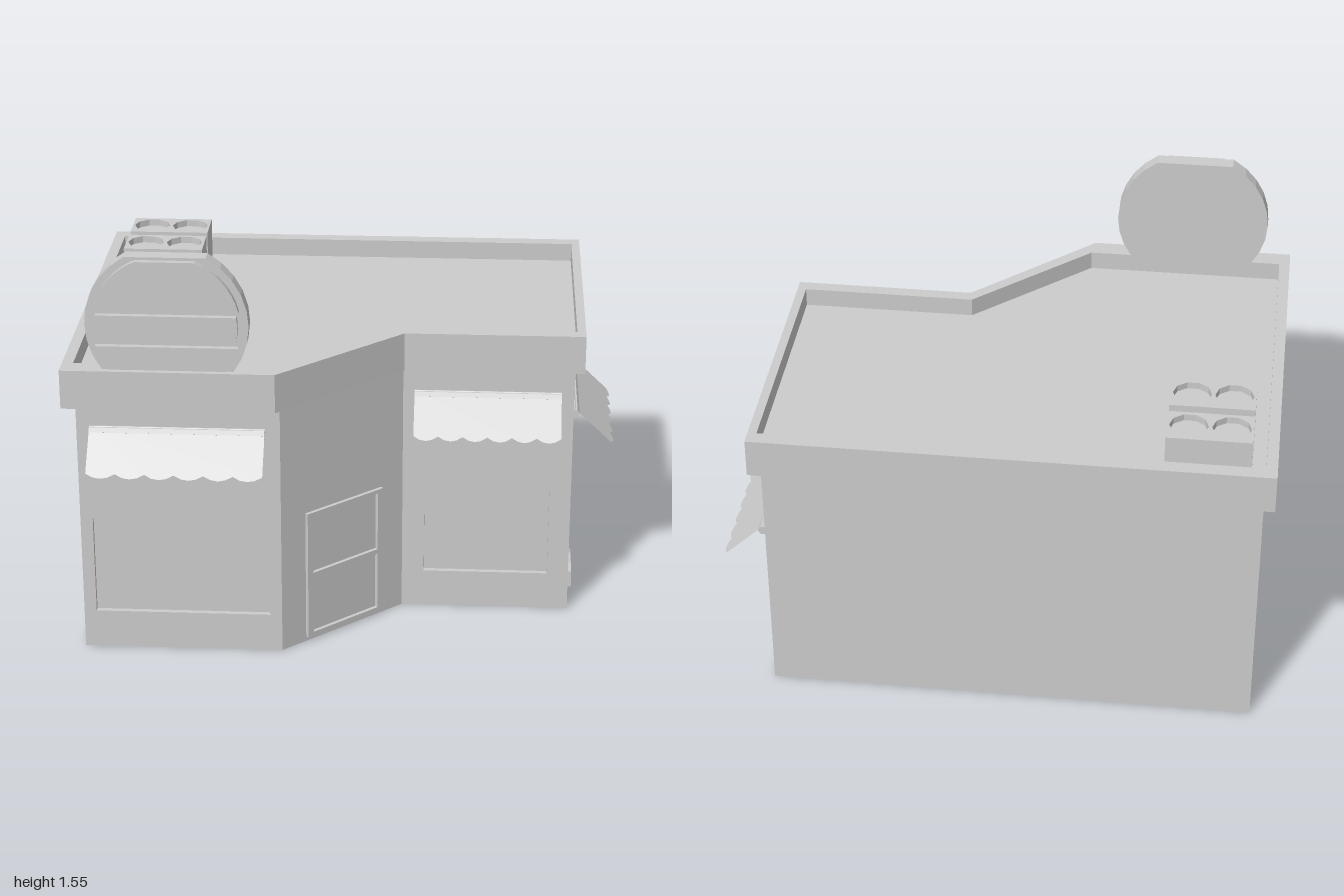
import * as THREE from 'three';

const material = new THREE.MeshStandardMaterial({ color: 0xcccccc, flatShading: true, side: THREE.DoubleSide });

function add(parent, name, geometry, x = 0, y = 0, z = 0) {
  const mesh = new THREE.Mesh(geometry, material);
  mesh.name = name;
  mesh.position.set(x, y, z);
  parent.add(mesh);
  return mesh;
}

function group(parent, name) {
  const g = new THREE.Group();
  g.name = name;
  parent.add(g);
  return g;
}

const polygon = (pts) => new THREE.Shape(pts.map(([x, y]) => new THREE.Vector2(x, y)));
const rect = (x0, y0, x1, y1) => polygon([[x0, y0], [x1, y0], [x1, y1], [x0, y1]]);
const extrude = (shape, depth) => new THREE.ExtrudeGeometry(shape, { depth, bevelEnabled: false, curveSegments: 6 });

// Floor-plan outline, given as [x, z] and laid flat with rotateX(-90 degrees)
const plan = (pts) => polygon(pts.map(([x, z]) => [x, -z]));
const flat = (geometry) => geometry.rotateX(-Math.PI / 2);

// Open-fronted niche sunk behind a rectangular opening
function recess(parent, name, [x0, y0, x1, y1], depth) {
  const g = group(parent, name);
  const w = x1 - x0, h = y1 - y0, cx = (x0 + x1) / 2, cy = (y0 + y1) / 2;
  add(g, 'pane', new THREE.PlaneGeometry(w, h), cx, cy, -depth);
  for (const s of [-1, 1]) {
    add(g, 'sideReveal', new THREE.PlaneGeometry(depth, h).rotateY(-s * Math.PI / 2), cx + s * w / 2, cy, -depth / 2);
    add(g, 'levelReveal', new THREE.PlaneGeometry(w, depth).rotateX(s * Math.PI / 2), cx, cy + s * h / 2, -depth / 2);
  }
  return g;
}

// Frame with two stacked openings, lying on a wall plane
function twoPaneFrame(parent, name, outer, panes, depth, z) {
  const shape = rect(...outer);
  panes.forEach((p) => shape.holes.push(rect(...p)));
  add(parent, name, extrude(shape, depth), 0, 0, z);
}

// Sloping scalloped sheet hung from a hexagonal rod
function awning(parent, x0, x1, top, reach, drop, scallops) {
  const g = group(parent, 'awning');
  const w = x1 - x0, length = Math.hypot(reach, drop), lobe = 0.018, step = w / scallops;
  const s = new THREE.Shape();
  s.moveTo(0, 0);
  s.lineTo(0, -length + lobe);
  for (let i = 0; i < scallops; i++) {
    s.quadraticCurveTo((i + 0.5) * step, -length - lobe, (i + 1) * step, -length + lobe);
  }
  s.lineTo(w, 0);
  const sheet = new THREE.ShapeGeometry(s, 4).rotateX(-Math.atan2(reach, drop));
  add(g, 'awningSheet', sheet, x0, top, 0.02);
  const rod = new THREE.CylinderGeometry(0.018, 0.018, w, 6).rotateZ(Math.PI / 2);
  add(g, 'awningRod', rod, (x0 + x1) / 2, top - 0.018, 0.02);
}

// Disc outline with its top and bottom cut off level
function cutDisc(r, y0, y1) {
  const pts = [], n = 8;
  const a0 = Math.asin(y0 / r), a1 = Math.asin(y1 / r);
  for (let i = 0; i <= n; i++) {
    const a = a0 + (a1 - a0) * i / n;
    pts.push([r * Math.cos(a), r * Math.sin(a)]);
  }
  return polygon([...pts, ...pts.slice().reverse().map(([x, y]) => [-x, y])]);
}

export function createModel() {
  const model = new THREE.Group();
  model.name = 'cornerShop';
  const wallTop = 0.985;

  // Walls run anticlockwise from the front corner; openings are in wall coordinates
  const corners = [[-0.96, 0.615], [-0.23, 0.615], [0.195, 0.225], [0.825, 0.225], [0.825, -0.72], [-0.96, -0.72]];
  const specs = [
    { name: 'frontRightWall', opening: [0.045, 0.145, 0.687, 0.52], depth: 0.02 },
    { name: 'entranceWall' },
    { name: 'frontLeftWall', opening: [0.083, 0.145, 0.55, 0.5], depth: 0.02 },
    { name: 'leftWall', opening: [0.368, 0.152, 0.863, 0.525], depth: 0.06 },
    { name: 'backWall' },
    { name: 'rightWall' },
  ];
  const walls = specs.map(({ name, opening, depth }, i) => {
    const [ax, az] = corners[i], [bx, bz] = corners[(i + 1) % corners.length];
    const g = group(model, name);
    g.position.set(ax, 0, az);
    g.rotation.y = Math.atan2(az - bz, bx - ax);
    const shape = rect(0, 0, Math.hypot(bx - ax, bz - az), wallTop);
    if (opening) {
      shape.holes.push(rect(...opening));
      recess(g, 'window', opening, depth);
    }
    add(g, 'wallPanel', new THREE.ShapeGeometry(shape));
    return g;
  });

  // Awnings
  awning(walls[0], 0.05, 0.678, 0.897, 0.14, 0.142, 6);
  awning(walls[2], 0.043, 0.583, 0.897, 0.14, 0.142, 6);
  awning(walls[3], 0.36, 0.897, 0.67, 0.153, 0.145, 6);

  // Door on the diagonal wall, and the side window frame
  twoPaneFrame(walls[1], 'doorFrame', [0.112, 0.018, 0.472, 0.525],
    [[0.137, 0.035, 0.445, 0.262], [0.137, 0.28, 0.445, 0.51]], 0.014, 0);
  twoPaneFrame(walls[3], 'sideWindowFrame', [0.368, 0.152, 0.863, 0.525],
    [[0.388, 0.17, 0.851, 0.32], [0.388, 0.336, 0.851, 0.507]], 0.015, -0.06);

  // Raised arrow low on the side wall
  add(walls[3], 'arrow', extrude(polygon([[0.035, 0.073], [0.198, 0.073], [0.198, 0.05],
    [0.292, 0.103], [0.198, 0.155], [0.198, 0.137], [0.035, 0.137]]), 0.014));

  // Overhanging parapet and sunken roof
  const outer = [[-1, 0.69], [-0.24, 0.69], [0.2, 0.27], [0.86, 0.27], [0.86, -0.785], [-1, -0.785]];
  const inner = [[-0.96, 0.615], [-0.23, 0.615], [0.19, 0.222], [0.828, 0.222], [0.828, -0.73], [-0.96, -0.73]];
  const ring = plan(outer);
  ring.holes.push(plan(inner));
  add(model, 'parapet', flat(extrude(ring, 0.145)), 0, wallTop, 0);
  const roofY = 1.06;
  add(model, 'roof', flat(new THREE.ShapeGeometry(plan(inner))), 0, roofY, 0);

  // Roof fan units, each with two round wells
  for (const z of [-0.626, -0.427]) {
    const unit = group(model, 'roofFanUnit');
    unit.position.set(-0.758, roofY, z);
    const top = rect(-0.152, -0.081, 0.152, 0.081);
    for (const x of [-0.075, 0.075]) {
      const well = [];
      for (let i = 0; i < 10; i++) {
        const a = i / 10 * Math.PI * 2;
        well.push([x + 0.069 * Math.cos(a), 0.069 * Math.sin(a)]);
      }
      top.holes.push(polygon(well));
      add(unit, 'fanWellFloor', flat(new THREE.ShapeGeometry(polygon(well))), 0, 0.13, 0);
    }
    add(unit, 'fanHousing', flat(extrude(top, 0.155)));
  }

  // Round rooftop sign with three raised plain panels
  const sign = group(model, 'roofSign');
  sign.position.set(-0.618, 1.3, 0.61);
  add(sign, 'signBody', extrude(cutDisc(0.288, -0.172, 0.25), 0.057));
  const panels = [['upperPanel', 0.06, 0.24], ['middlePanel', -0.055, 0.04], ['lowerPanel', -0.162, -0.075]];
  for (const [name, y0, y1] of panels) {
    add(sign, name, extrude(cutDisc(name === 'middlePanel' ? 0.25 : 0.262, y0, y1), 0.022), 0, 0, 0.057);
  }
  return model;
}
